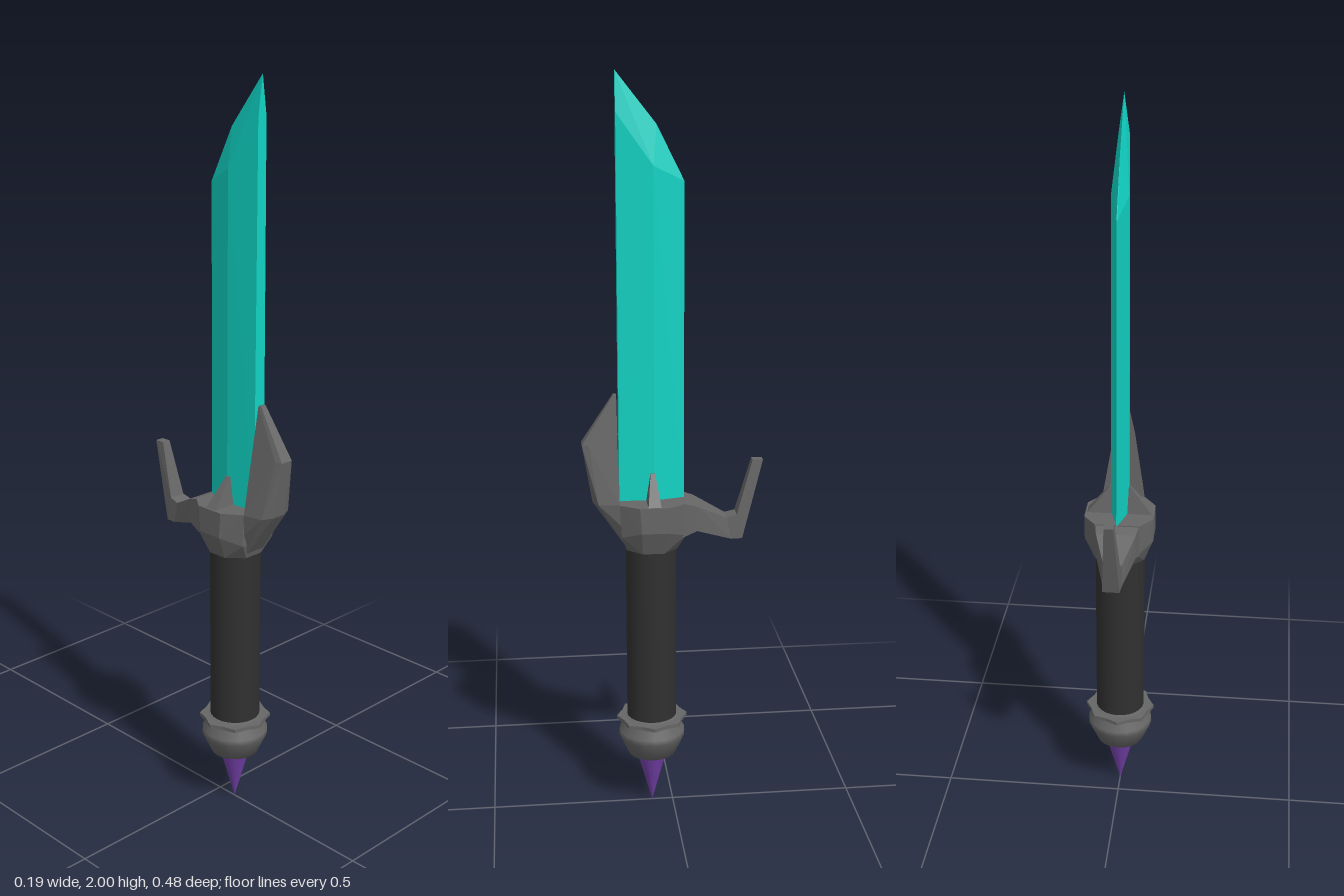
import * as THREE from 'three';
import { ConvexGeometry } from 'three/addons/geometries/ConvexGeometry.js';

const material = (name, color) => {
  const m = new THREE.MeshStandardMaterial({ color });
  m.name = name;
  return m;
};

const AXIS_Z = 0.058; // the grip's centre line

export function createModel() {
  const model = new THREE.Group();
  model.name = 'dagger';
  const teal = material('teal blade', 0x10d3c4);
  const grey = material('guard grey', 0x666666);
  const dark = material('grip black', 0x303030);
  const purple = material('purple crystal', 0x7340a8);

  const add = (name, geometry, mat, z = 0, parent = model) => {
    const mesh = new THREE.Mesh(geometry, mat);
    mesh.name = name;
    mesh.position.z = z;
    parent.add(mesh);
    return mesh;
  };

  // Faceted solid around [x, y, z] corners, mirrored across x unless x is 0
  const facets = (points, mirror = true) => {
    const list = [];
    for (const [x, y, z] of points) {
      list.push(new THREE.Vector3(x, y, z));
      if (mirror && x !== 0) list.push(new THREE.Vector3(-x, y, z));
    }
    return new ConvexGeometry(list);
  };

  // Blade: flat spine at the front, cutting edge at the back, slanted tip
  add('blade', facets([
    [0.018, 0.88, 0.143], [0.024, 0.88, 0.05], [0.002, 0.88, -0.03],
    [0.014, 1.9, 0.143], [0.023, 1.77, 0.05], [0.001, 1.73, -0.03],
    [0, 1.87, 0.04], [0, 2, 0.143],
  ]), teal);

  // Guard core: an octagonal block tapering down to the grip
  const guard = new THREE.Group();
  guard.name = 'guard';
  model.add(guard);
  const plan = [[0.058, 0.145], [0.07, 0.122], [0.093, 0.095], [0.093, 0.014], [0.06, -0.03]];
  const core = plan.map(([x, z]) => [x, 0.9, z]);
  core.push([0.093, 0.83, 0.09], [0.093, 0.83, 0.02], [0.055, 0.81, -0.03], [0.055, 0.81, 0.14]);
  for (let i = 0; i < 4; i++) {
    const a = -Math.PI * 3 / 8 + i * Math.PI / 4;
    core.push([0.073 * Math.cos(a), 0.765, AXIS_Z + 0.073 * Math.sin(a)]);
  }
  add('guardCore', facets(core), grey, 0, guard);

  // Front prong: rises along the spine of the blade
  const prongWaist = [[0.058, 0.9, 0.146], [0.05, 0.9, 0.2], [0.02, 0.9, 0.214]];
  add('frontProngBase', facets([
    [0.03, 0.768, 0.122], [0.055, 0.8, 0.1], ...prongWaist,
  ]), grey, 0, guard);
  add('frontProng', facets([
    ...prongWaist,
    [0.026, 1.055, 0.148], [0.024, 1.055, 0.222], [0.018, 1.055, 0.24],
    [0.01, 1.185, 0.148], [0.008, 1.185, 0.156],
  ]), grey, 0, guard);

  // Rear hook: segments between [half width, top z, top y, bottom z, bottom y]
  const hook = [
    [0.06, -0.02, 0.9, -0.02, 0.805],
    [0.053, -0.06, 0.888, -0.06, 0.82],
    [0.025, -0.143, 0.845, -0.155, 0.785],
    [0.023, -0.17, 0.852, -0.185, 0.785],
    [0.012, -0.212, 1.0, -0.24, 1.0],
  ];
  const ends = ([w, zt, yt, zb, yb]) => [[w, yt, zt], [w, yb, zb]];
  for (let i = 0; i < hook.length - 1; i++) {
    add('rearHook', facets([...ends(hook[i]), ...ends(hook[i + 1])]), grey, 0, guard);
  }

  // Small fins on both sides of the blade
  for (const s of [-1, 1]) {
    const fin = [];
    for (const d of [-1, 1]) {
      fin.push(
        [s * 0.092, 0.895, AXIS_Z - 0.003 + d * 0.018],
        [s * 0.015, 0.895, AXIS_Z - 0.003 + d * 0.018],
        [s * 0.028, 0.975, AXIS_Z - 0.003 + d * 0.006],
        [s * 0.015, 0.975, AXIS_Z - 0.003 + d * 0.006],
      );
    }
    add(s > 0 ? 'leftFin' : 'rightFin', facets(fin, false), grey, 0, guard);
  }

  // Grip
  const grip = new THREE.CylinderGeometry(0.068, 0.068, 0.52, 24);
  add('grip', grip.translate(0, 0.515, 0), dark, AXIS_Z);

  // Scalloped ring under the grip
  const ringShape = new THREE.Shape();
  for (let i = 0; i < 16; i++) {
    const a = i * Math.PI / 8;
    const r = i % 2 ? 0.086 : 0.097;
    ringShape[i ? 'lineTo' : 'moveTo'](r * Math.cos(a), r * Math.sin(a));
  }
  const ring = new THREE.ExtrudeGeometry(ringShape, { depth: 0.01, bevelEnabled: false });
  add('pommelRing', ring.rotateX(-Math.PI / 2).translate(0, 0.26, 0), grey, AXIS_Z);

  // Pommel
  const profile = [[0, 0.16], [0.066, 0.16], [0.091, 0.215], [0.09, 0.23], [0.074, 0.256], [0.072, 0.275], [0, 0.275]];
  add('pommel', new THREE.LatheGeometry(profile.map(([r, y]) => new THREE.Vector2(r, y)), 20), grey, AXIS_Z);

  // Crystal spike
  const spike = new THREE.ConeGeometry(0.044, 0.16, 16);
  add('crystalSpike', spike.rotateX(Math.PI).translate(0, 0.085, 0), purple, AXIS_Z);

  return model;
}
